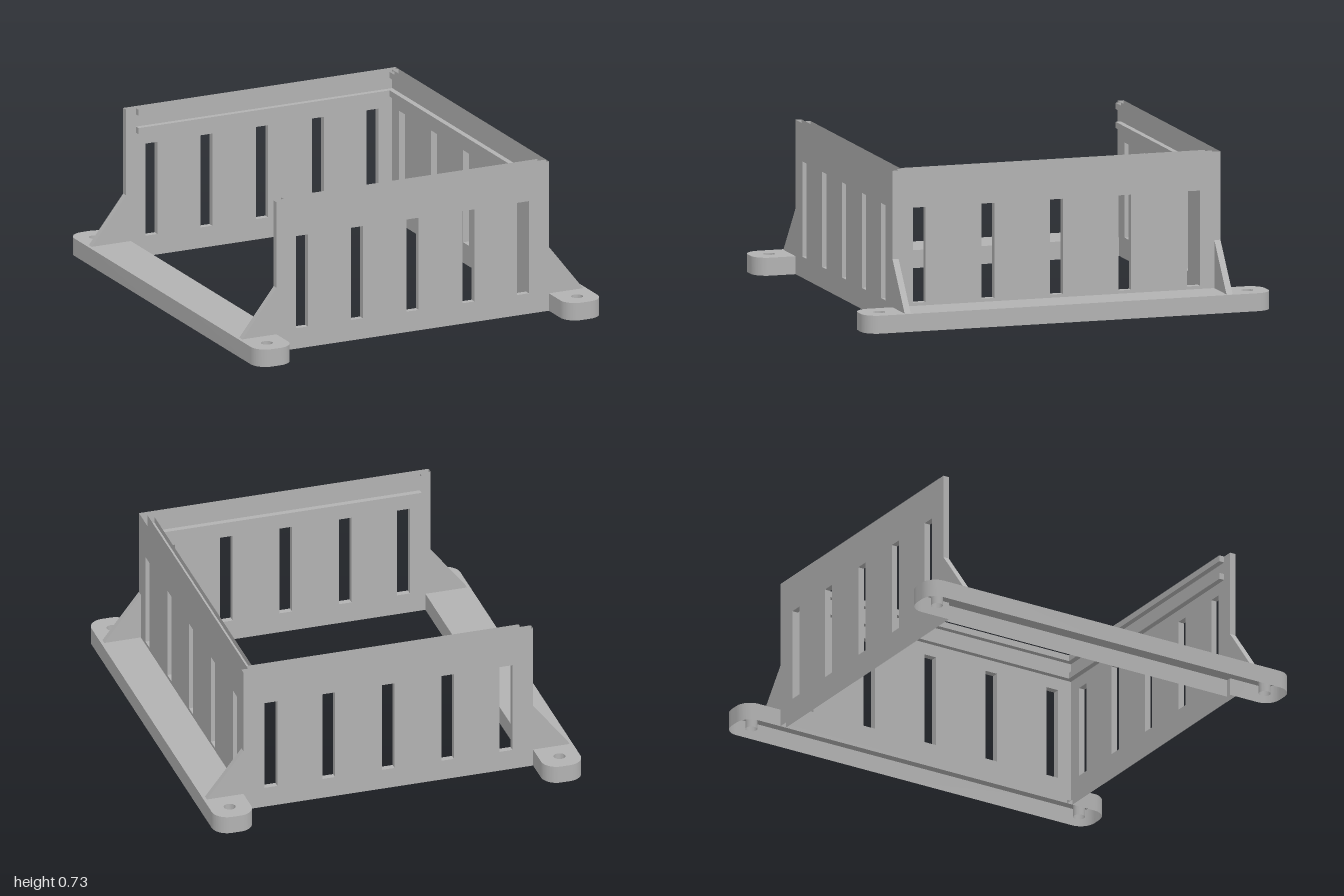
import * as THREE from 'three';
import { toCreasedNormals } from 'three/addons/utils/BufferGeometryUtils.js';

const H = 0.73;              // wall height
const BASE = 0.085;          // foot rail height
const XO = 0.707, XI = 0.675; // side wall, outer and inner
const ZO = 0.805, ZI = 0.775; // front and back wall, outer and inner
const AXIS = { x: 0, y: 1, z: 2 };

// Removes the flat faces lying on the given planes, leaving the shell open there
function openFaces(geometry, planes) {
  const g = geometry.index ? geometry.toNonIndexed() : geometry;
  const p = g.attributes.position.array;
  const kept = [];
  for (let i = 0; i < p.length; i += 9) {
    const onPlane = planes.some(([axis, value]) =>
      [0, 3, 6].every((k) => Math.abs(p[i + k + AXIS[axis]] - value) < 1e-4));
    if (!onPlane) for (let k = 0; k < 9; k++) kept.push(p[i + k]);
  }
  const out = new THREE.BufferGeometry();
  out.setAttribute('position', new THREE.Float32BufferAttribute(kept, 3));
  return toCreasedNormals(out, Math.PI / 6);
}

function polygon(points) {
  return new THREE.Shape(points.map(([x, y]) => new THREE.Vector2(x, y)));
}

function addSlots(shape, centres) {
  for (const c of centres) {
    const hole = new THREE.Path();
    hole.moveTo(c - 0.031, 0.1);
    hole.lineTo(c - 0.031, 0.55);
    hole.lineTo(c + 0.031, 0.55);
    hole.lineTo(c + 0.031, 0.1);
    hole.closePath();
    shape.holes.push(hole);
  }
  return shape;
}

export function createModel() {
  const group = new THREE.Group();
  const grey = new THREE.MeshStandardMaterial({ color: 0xb2b2b2, side: THREE.DoubleSide });
  grey.name = 'grey';

  const add = (name, geometry) => {
    const mesh = new THREE.Mesh(geometry, grey);
    mesh.name = name;
    group.add(mesh);
  };

  // Front and back walls with sloped gussets at both ends
  const half = [[XO, 0], [XO, BASE], [0.885, BASE], [XO, 0.312], [XO, H]];
  const mirrored = half.map(([x, y]) => [-x, y]).reverse();
  for (const [name, z] of [['frontWall', ZI], ['backWall', -ZO]]) {
    const shape = addSlots(polygon([...half, ...mirrored]), [-0.575, -0.29, 0, 0.29, 0.572]);
    const geo = new THREE.ExtrudeGeometry(shape, { depth: ZO - ZI, bevelEnabled: false });
    geo.translate(0, 0, z);
    add(name, openFaces(geo, [['y', 0], ['y', BASE], ['y', H]]));
  }

  // Slotted side wall
  const sideShape = addSlots(polygon([[-ZI, 0], [ZI, 0], [ZI, H], [-ZI, H]]),
    [-0.673, -0.336, 0, 0.336, 0.673]);
  const sideGeo = new THREE.ExtrudeGeometry(sideShape, { depth: XO - XI, bevelEnabled: false });
  sideGeo.rotateY(Math.PI / 2).translate(XI, 0, 0);
  add('sideWall', openFaces(sideGeo, [['y', 0], ['y', H], ['z', ZI], ['z', -ZI]]));

  // Hollow foot rails with rounded ends and screw holes
  const outer = 0.9, r = 0.075;
  for (const s of [1, -1]) {
    const shape = new THREE.Shape();
    shape.moveTo(s * XO, -1 + r);
    shape.absarc(s * (XO + r), -1 + r, r, s > 0 ? Math.PI : 0, -Math.PI / 2, s < 0);
    shape.absarc(s * (outer - r), -1 + r, r, -Math.PI / 2, s > 0 ? 0 : -Math.PI, s < 0);
    shape.absarc(s * (outer - r), 1 - r, r, s > 0 ? 0 : Math.PI, Math.PI / 2, s < 0);
    shape.absarc(s * (XO + r), 1 - r, r, Math.PI / 2, s > 0 ? Math.PI : 0, s < 0);
    if (s < 0) {
      // the open side reaches inward to the line of the missing wall
      shape.lineTo(-XO, ZI);
      shape.lineTo(-0.682, ZI);
      shape.lineTo(-0.682, -ZI);
      shape.lineTo(-XO, -ZI);
    }
    shape.closePath();
    for (const z of [-0.903, 0.903]) {
      const hole = new THREE.Path();
      hole.absarc(s * 0.805, z, 0.028, 0, Math.PI * 2, true);
      shape.holes.push(hole);
    }
    const geo = new THREE.ExtrudeGeometry(shape, { depth: BASE, bevelEnabled: false, curveSegments: 10 });
    geo.rotateX(-Math.PI / 2);
    add(s > 0 ? 'leftFootRail' : 'rightFootRail', openFaces(geo, [['y', 0]]));
  }

  // Pairs of inner rails forming a groove for a sliding lid
  const x0 = -0.655, t = 0.026, h = 0.03;
  for (const [name, top] of [['upperLidRail', H], ['lowerLidRail', 0.64]]) {
    for (const s of [1, -1]) {
      const rail = new THREE.BoxGeometry(XI - x0, h, t);
      rail.translate((XI + x0) / 2, top - h / 2, s * (ZI - t / 2));
      add(name, openFaces(rail, [['y', H]]));
    }
    const cross = new THREE.BoxGeometry(t, h, 2 * (ZI - t));
    cross.translate(XI - t / 2, top - h / 2, 0);
    add(name, openFaces(cross, [['y', H]]));
  }

  return group;
}
